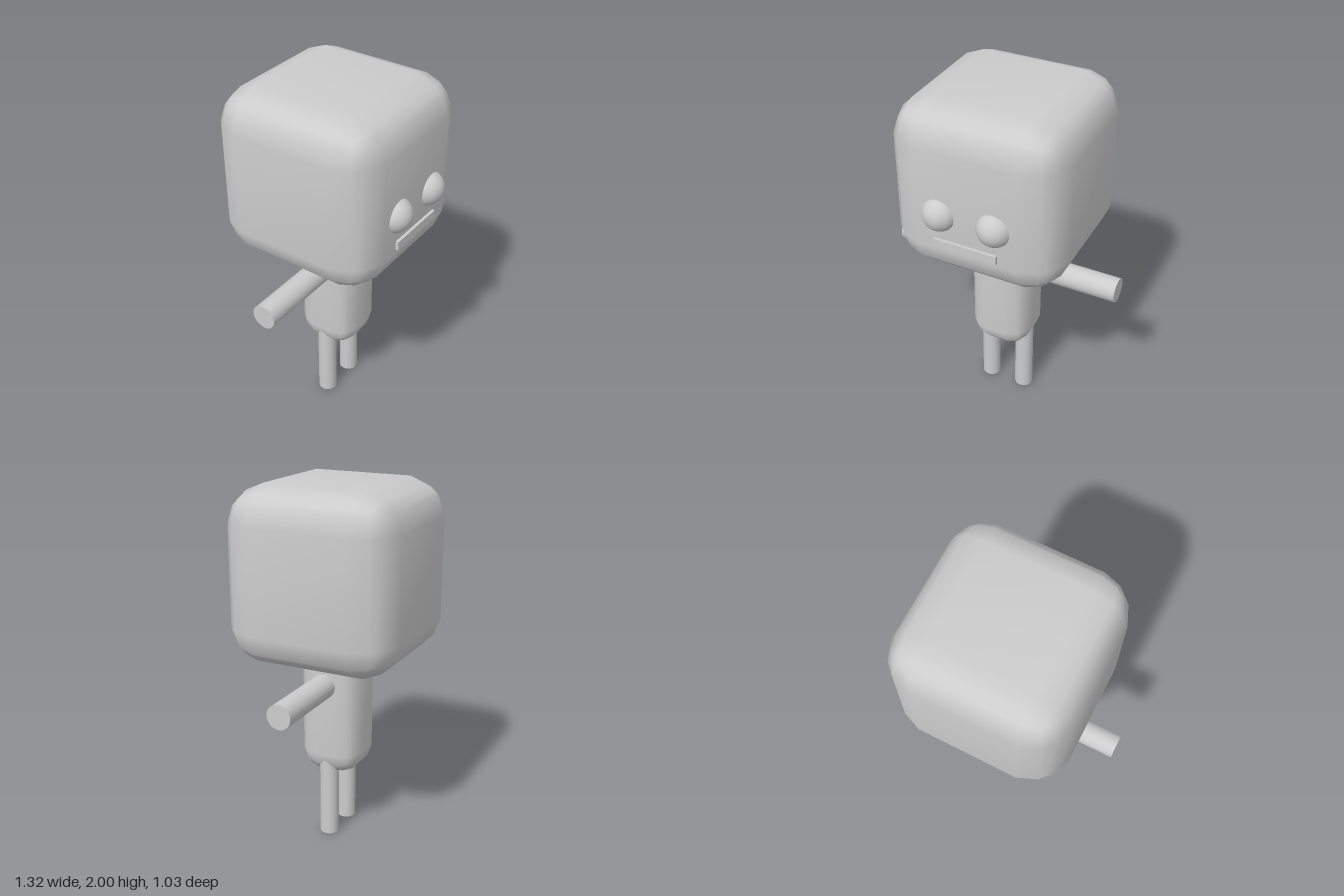
import * as THREE from 'three';
import { mergeVertices } from 'three/addons/utils/BufferGeometryUtils.js';

const MID_Z = -0.033;
const material = new THREE.MeshStandardMaterial({ color: 0xcccccc });

// Box with three-facet rounded edges and smooth normals; half and round are per-axis sizes
function softBox(half, round) {
  let geo = new THREE.BoxGeometry(5, 5, 5, 5, 5, 5);
  geo.deleteAttribute('uv');
  geo.deleteAttribute('normal');
  geo = mergeVertices(geo);
  const pos = geo.attributes.position;
  const steps = [0, 0.67, 1];
  for (let i = 0; i < pos.count; i++) {
    const p = [pos.getX(i), pos.getY(i), pos.getZ(i)];
    const e = p.map((v) => steps[Math.round(Math.abs(v) - 0.5)]);
    const q = e[0] ** 2 + e[1] ** 2 + e[2] ** 2 - 1;
    const s = 1 / Math.sqrt(1 + 1.4 * q);
    pos.setXYZ(i, ...p.map((v, k) => Math.sign(v) * (half[k] - round[k] + round[k] * e[k] * s)));
  }
  geo.computeVertexNormals();
  return geo;
}

export function createModel() {
  const model = new THREE.Group();
  const add = (name, geo, x, y, z) => {
    const mesh = new THREE.Mesh(geo, material);
    mesh.name = name;
    mesh.position.set(x, y, z);
    model.add(mesh);
    return mesh;
  };

  // Big block head and slim body whose top is buried in it
  add('head', softBox([0.483, 0.481, 0.483], [0.2, 0.2, 0.2]), 0, 1.519, MID_Z);
  add('torso', softBox([0.178, 0.42, 0.178], [0.115, 0.13, 0.115]), 0, 0.79, MID_Z);

  // Mouth bar
  add('mouth', new THREE.BoxGeometry(0.355, 0.05, 0.05), 0, 1.285, 0.441);

  // Paired parts
  for (const [side, s] of [['left', 1], ['right', -1]]) {
    add(side + 'Eye', new THREE.SphereGeometry(0.095, 32, 20), s * 0.153, 1.45, 0.422);
    const arm = add(side + 'Arm', new THREE.CylinderGeometry(0.068, 0.068, 0.56, 32), s * 0.38, 0.912, MID_Z);
    arm.rotation.z = Math.PI / 2;
    add(side + 'Leg', new THREE.CylinderGeometry(0.053, 0.053, 0.52, 32), s * 0.109, 0.26, MID_Z);
  }
  return model;
}
